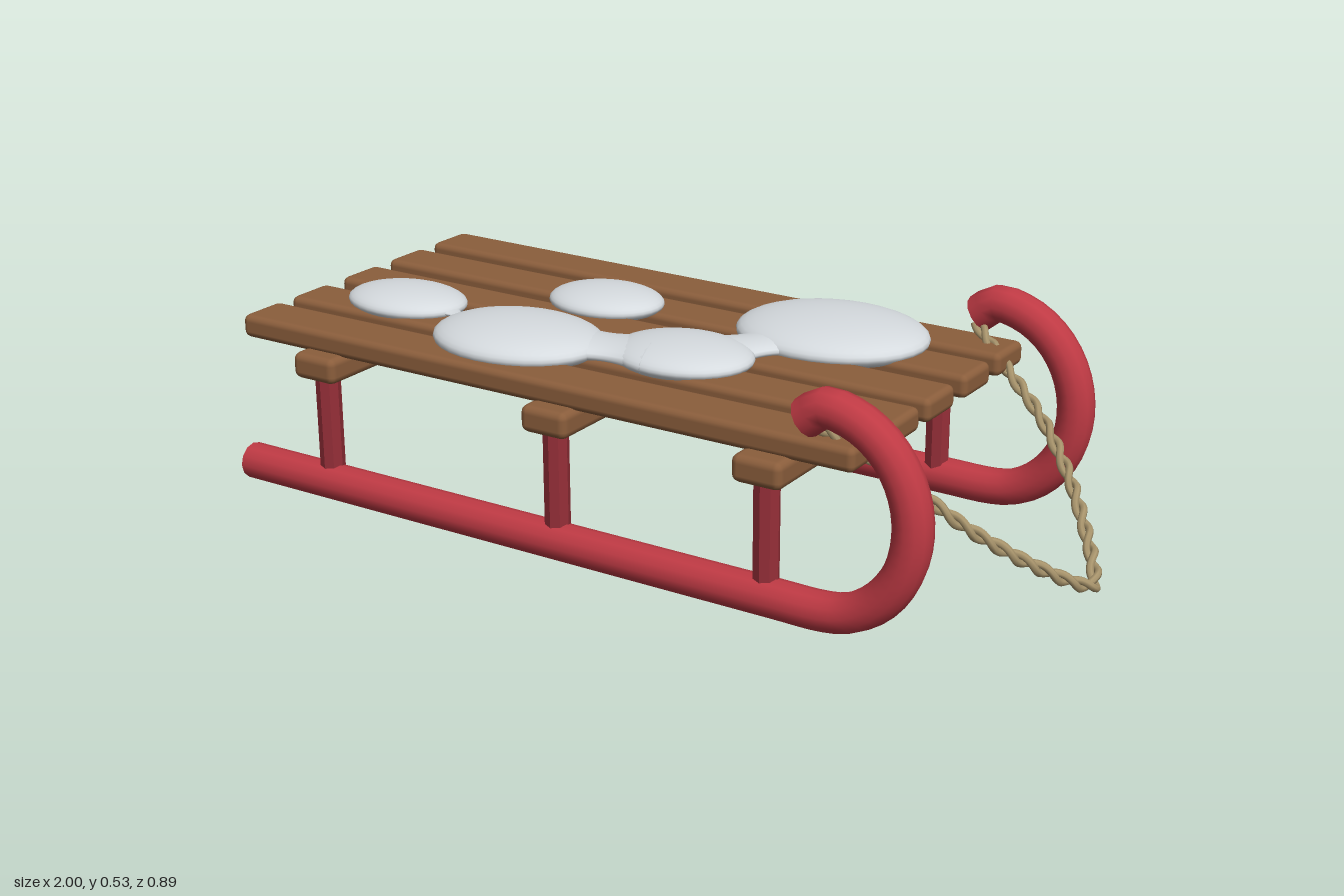
import * as THREE from 'three';
import { RoundedBoxGeometry } from 'three/addons/geometries/RoundedBoxGeometry.js';

const material = (name, color) => {
  const m = new THREE.MeshStandardMaterial({ color });
  m.name = name;
  return m;
};
const V = (x, y, z) => new THREE.Vector3(x, y, z);

export function createModel() {
  const red = material('red paint', 0xbf3a44);
  const darkRed = material('dark red paint', 0x962f38);
  const wood = material('wood', 0x8b5e3c);
  const snow = material('snow', 0xd5dade);
  const twine = material('rope', 0xa8946c);

  const model = new THREE.Group();
  model.name = 'sled';
  const add = (name, geometry, mat, parent = model) => {
    const mesh = new THREE.Mesh(geometry, mat);
    mesh.name = name;
    parent.add(mesh);
    return mesh;
  };

  // Runners: straight tubes curling up and back at the nose
  const R = 0.043;
  const runnerPoints = [V(-1, R, 0), V(-0.3, R, 0), V(0.2, R, 0), V(0.45, R, 0)];
  for (let a = -90; a <= 90; a += 15) {
    const t = THREE.MathUtils.degToRad(a);
    runnerPoints.push(V(0.555 + 0.203 * Math.cos(t), 0.265 + 0.222 * Math.sin(t), 0));
  }
  runnerPoints.push(V(0.51, 0.456, 0));
  const runnerCurve = new THREE.CatmullRomCurve3(runnerPoints);
  const runnerTube = new THREE.TubeGeometry(runnerCurve, 80, R, 12);
  const capGeometry = new THREE.CircleGeometry(R, 12);

  for (const side of [-1, 1]) {
    const runner = new THREE.Group();
    runner.name = side > 0 ? 'frontRunner' : 'backRunner';
    runner.position.z = side * 0.398;
    model.add(runner);
    add('runnerTube', runnerTube, red, runner);
    for (const end of [0, 1]) {
      const p = runnerCurve.getPointAt(end);
      const dir = runnerCurve.getTangentAt(end).multiplyScalar(end ? 1 : -1);
      const cap = add('runnerCap', capGeometry, red, runner);
      cap.position.copy(p);
      cap.quaternion.setFromUnitVectors(V(0, 0, 1), dir);
    }
  }

  // Cross bars on faceted posts
  const postGeometry = new THREE.CylinderGeometry(0.029, 0.029, 0.25, 8).toNonIndexed();
  postGeometry.computeVertexNormals();
  const barGeometry = new RoundedBoxGeometry(0.12, 0.062, 0.89, 2, 0.018);
  for (const x of [-0.755, -0.11, 0.42]) {
    add('crossBar', barGeometry, wood).position.set(x, 0.331, 0);
    for (const side of [-1, 1]) {
      add('post', postGeometry, darkRed).position.set(x, 0.19, side * 0.392);
    }
  }

  // Seat slats, each slightly out of parallel: [z at tail, z at nose]
  const slatGeometry = new RoundedBoxGeometry(1.62, 0.055, 0.126, 2, 0.016);
  for (const [tail, nose] of [[-0.365, -0.34], [-0.188, -0.172], [-0.01, 0.003], [0.175, 0.165], [0.342, 0.336]]) {
    const slat = add('slat', slatGeometry, wood);
    slat.position.set(-0.19, 0.382, (tail + nose) / 2);
    slat.rotation.y = -Math.atan2(nose - tail, 1.62);
  }

  // Snow patches: [x, z, radius x, radius z, height]
  const patches = [
    [0.24, -0.2, 0.23, 0.19, 0.05],
    [-0.33, -0.125, 0.145, 0.117, 0.036],
    [-0.73, 0.125, 0.155, 0.115, 0.036],
    [-0.34, 0.21, 0.21, 0.165, 0.048],
    [0.035, 0.11, 0.168, 0.137, 0.039],
  ];
  const ball = new THREE.SphereGeometry(1, 32, 20);
  for (const [x, z, rx, rz, h] of patches) {
    const patch = add('snowPatch', ball, snow);
    patch.position.set(x, 0.417, z);
    patch.scale.set(rx, h, rz);
  }

  // Waisted necks joining neighbouring patches: [x0, z0, x1, z1, waist, flare]
  const necks = [
    [-0.63, 0.13, -0.48, 0.18, 0.015, 0.07],
    [-0.25, 0.19, -0.02, 0.13, 0.075, 0.12],
    [0.08, 0.06, 0.19, -0.11, 0.065, 0.11],
  ];
  for (const [x0, z0, x1, z1, waist, flare] of necks) {
    const length = Math.hypot(x1 - x0, z1 - z0);
    const profile = [];
    for (let i = 0; i <= 12; i++) {
      const t = i / 6 - 1;
      profile.push(new THREE.Vector2(waist + (flare - waist) * t * t, t * length / 2));
    }
    const g = new THREE.LatheGeometry(profile, 20);
    g.rotateZ(-Math.PI / 2);
    g.scale(1, 0.3, 1);
    const neck = add('snowNeck', g, snow);
    neck.position.set((x0 + x1) / 2, 0.417, (z0 + z1) / 2);
    neck.rotation.y = -Math.atan2(z1 - z0, x1 - x0);
  }

  // Pull rope: two strands twisted around one path
  const half = [[0.515, 0.44, 0.375], [0.625, 0.362, 0.317], [0.72, 0.29, 0.28], [0.81, 0.21, 0.222],
    [0.89, 0.135, 0.142], [0.96, 0.07, 0.05]];
  const ropePath = new THREE.CatmullRomCurve3([
    ...half.map(([x, y, z]) => V(x, y, z)),
    V(0.983, 0.05, 0),
    ...half.slice().reverse().map(([x, y, z]) => V(x, y, -z)),
  ]);
  const rope = new THREE.Group();
  rope.name = 'pullRope';
  model.add(rope);
  for (const phase of [0, Math.PI]) {
    const points = [];
    for (let i = 0; i <= 180; i++) {
      const u = i / 180;
      const t = ropePath.getTangentAt(u);
      const n = V(0.6, 0.8, 0).cross(t).normalize();
      const b = t.clone().cross(n);
      const a = phase + u * Math.PI * 2 * 13;
      points.push(ropePath.getPointAt(u)
        .addScaledVector(n, 0.0085 * Math.cos(a))
        .addScaledVector(b, 0.0085 * Math.sin(a)));
    }
    const strand = new THREE.CatmullRomCurve3(points);
    strand.arcLengthDivisions = 600;
    add('strand', new THREE.TubeGeometry(strand, 260, 0.0085, 7), twine, rope);
  }

  return model;
}
